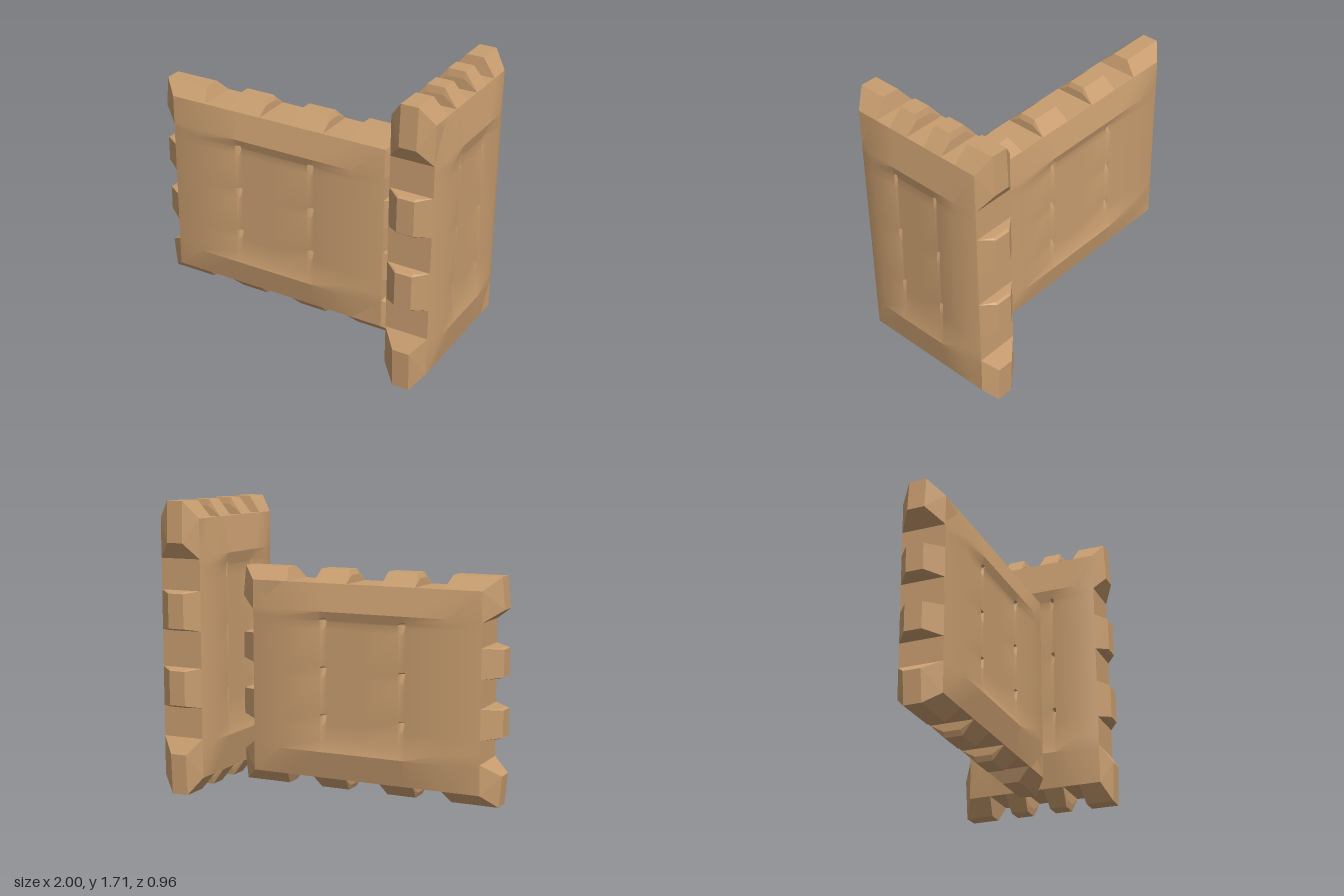
import * as THREE from 'three';
import { toCreasedNormals } from 'three/addons/utils/BufferGeometryUtils.js';
import { ConvexGeometry } from 'three/addons/geometries/ConvexGeometry.js';

const EDGE = 0.127, RIM = 0.163, TIP = 0.05; // half thicknesses
const BW = 0.71, BH = 0.57; // half size of the slab
const W = 0.815, H = 0.645; // half size with the teeth
const DENT_X = [-0.245, 0.245], DENT_Y = [-0.22, 0.06, 0.34];
const clamp = (v) => Math.min(1, Math.max(0, v));

// Half thickness of the slab: bevelled border, raised rim, shallow recess, small dents
function thickness(x, y) {
  const ax = Math.abs(x), ay = Math.abs(y);
  const bevel = Math.max(clamp((ax - 0.515) / (BW - 0.515)), clamp((ay - 0.41) / (BH - 0.41)));
  const recess = clamp((0.515 - ax) / 0.27) * clamp((0.41 - ay) / 0.06);
  let dent = 0;
  for (const dx of DENT_X) for (const dy of DENT_Y) {
    const across = clamp((0.022 - Math.abs(x - dx)) / 0.01);
    const along = y > dy + 0.02 ? clamp((dy + 0.03 - y) / 0.01) : clamp((y - dy + 0.035) / 0.055);
    dent = Math.max(dent, across * along);
  }
  return RIM - (RIM - EDGE) * bevel - 0.02 * recess - 0.03 * dent;
}

// Slab: a divided box whose grid lines follow the features
function slabGeometry() {
  const xs = [-BW, -0.515, 0, 0.515, BW], ys = [-BH, -0.41, -0.35, 0.35, 0.41, BH];
  for (const d of DENT_X) xs.push(d - 0.022, d - 0.012, d, d + 0.012, d + 0.022);
  for (const d of DENT_Y) ys.push(d - 0.035, d + 0.02, d + 0.03);
  xs.sort((a, b) => a - b);
  ys.sort((a, b) => a - b);
  const nx = xs.length - 1, ny = ys.length - 1;
  const geo = new THREE.BoxGeometry(nx, ny, 1, nx, ny, 1);
  const p = geo.attributes.position;
  for (let i = 0; i < p.count; i++) {
    const x = xs[Math.round(p.getX(i) + nx / 2)], y = ys[Math.round(p.getY(i) + ny / 2)];
    p.setXYZ(i, x, y, Math.sign(p.getZ(i)) * thickness(x, y));
  }
  return toCreasedNormals(geo, 0.5);
}

// Convex block, wide at its base outline and narrow at its tip outline
function block(base, tip) {
  const pts = [];
  for (const s of [-1, 1]) {
    for (const [x, y] of base) pts.push(new THREE.Vector3(x, y, s * EDGE));
    for (const [x, y] of tip) pts.push(new THREE.Vector3(x, y, s * TIP));
  }
  return new ConvexGeometry(pts);
}

function createPanel(name, material) {
  const panel = new THREE.Group();
  panel.name = name;
  const add = (part, geo) => {
    const mesh = new THREE.Mesh(geo, material);
    mesh.name = part;
    panel.add(mesh);
  };
  add('slab', slabGeometry());
  for (const sx of [-1, 1]) for (const sy of [-1, 1]) {
    const m = (pts) => pts.map(([x, y]) => [x * sx, y * sy]);
    // Corner block wrapping two edges
    add('cornerBlock', block(
      m([[BW, 0.395], [BW, BH], [0.485, BH], [0.485, 0.395]]),
      m([[W, 0.465], [0.797, H], [0.515, H]])));
    // Tooth on the top or bottom edge
    add('edgeTooth', block(
      m([[0.105, BH], [0.315, BH], [0.315, 0.54], [0.105, 0.54]]),
      m([[0.108, 0.615], [0.312, 0.615], [0.122, H], [0.298, H]])));
    // Tooth on the left or right edge
    add('sideTooth', block(
      m([[BW, 0.082], [BW, 0.257], [0.68, 0.257], [0.68, 0.082]]),
      m([[0.79, 0.085], [0.79, 0.254], [W, 0.093], [W, 0.246]])));
  }
  return panel;
}

export function createModel() {
  const model = new THREE.Group();
  model.name = 'panels';
  const tan = new THREE.MeshStandardMaterial({ color: 0xc89d6f });
  tan.name = 'tan';

  // Wide panel facing the front
  const wide = createPanel('widePanel', tan);
  wide.position.set(-0.185, 0.675, 0);

  // Tall narrow panel turned to the side
  const tall = createPanel('tallPanel', tan);
  tall.scale.set(0.589, 1.326, 1.01);
  tall.rotation.y = Math.PI / 2;
  tall.position.set(0.835, 0.855, 0);

  model.add(wide, tall);
  return model;
}
